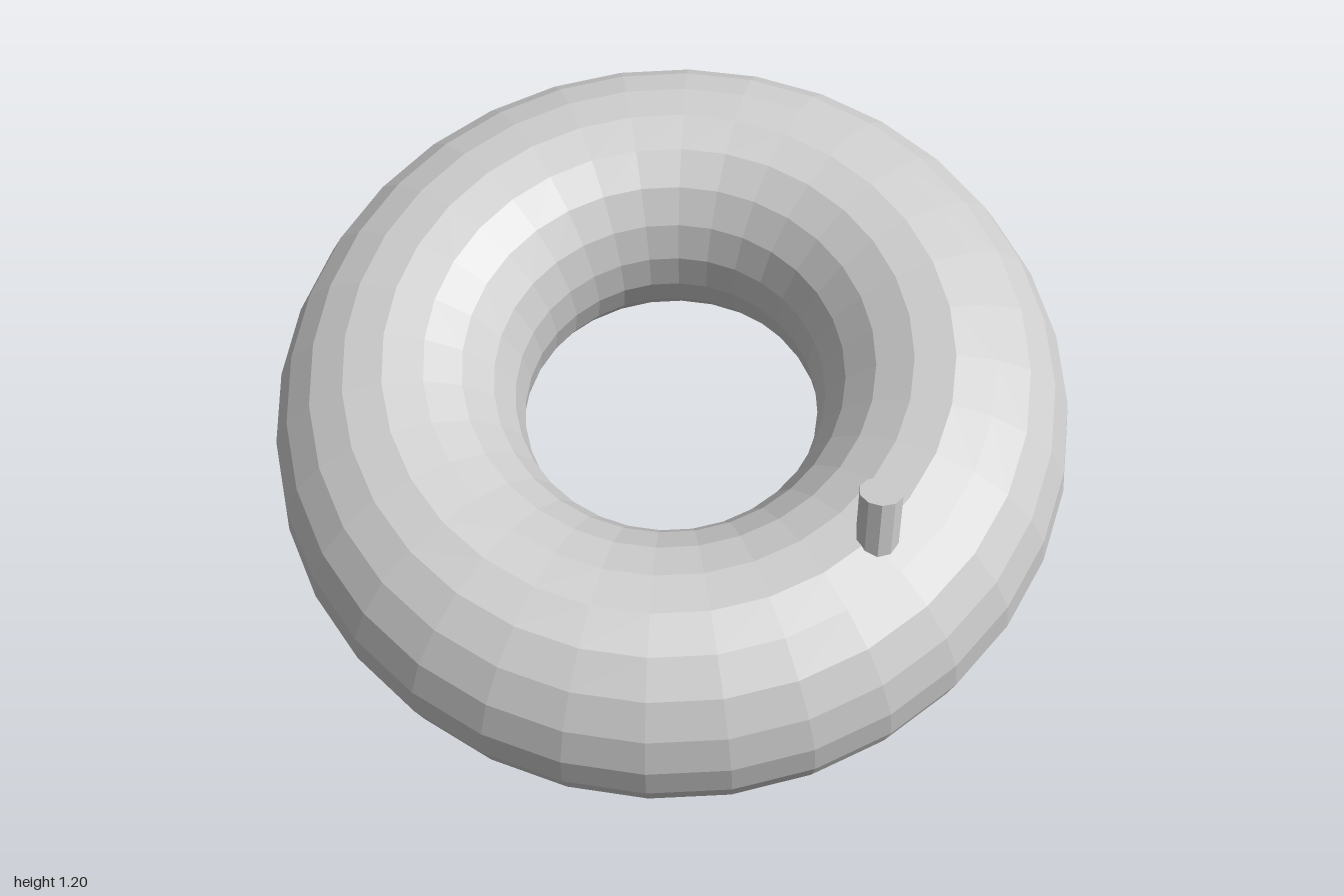
import * as THREE from 'three';

const TILT = THREE.MathUtils.degToRad(25);
const RING_RADIUS = 0.686;
const TUBE_RADIUS = 0.314;

export function createModel() {
  const model = new THREE.Group();
  model.name = 'swimRing';

  const grey = new THREE.MeshStandardMaterial({ color: 0xcccccc, flatShading: true });
  grey.name = 'light grey';

  // Inflated ring, low at the front and raised at the back
  const ring = new THREE.Mesh(
    new THREE.TorusGeometry(RING_RADIUS, TUBE_RADIUS, 20, 32).rotateX(-Math.PI / 2),
    grey
  );
  ring.name = 'ring';
  ring.rotation.x = TILT;
  ring.position.y = 0.604;
  model.add(ring);

  // Upright valve sunk into the front left of the ring
  const valve = new THREE.Mesh(new THREE.CylinderGeometry(0.05, 0.05, 0.2, 10), grey);
  valve.name = 'valve';
  valve.position.set(0.5, 0.71, 0.556);
  model.add(valve);

  return model;
}
